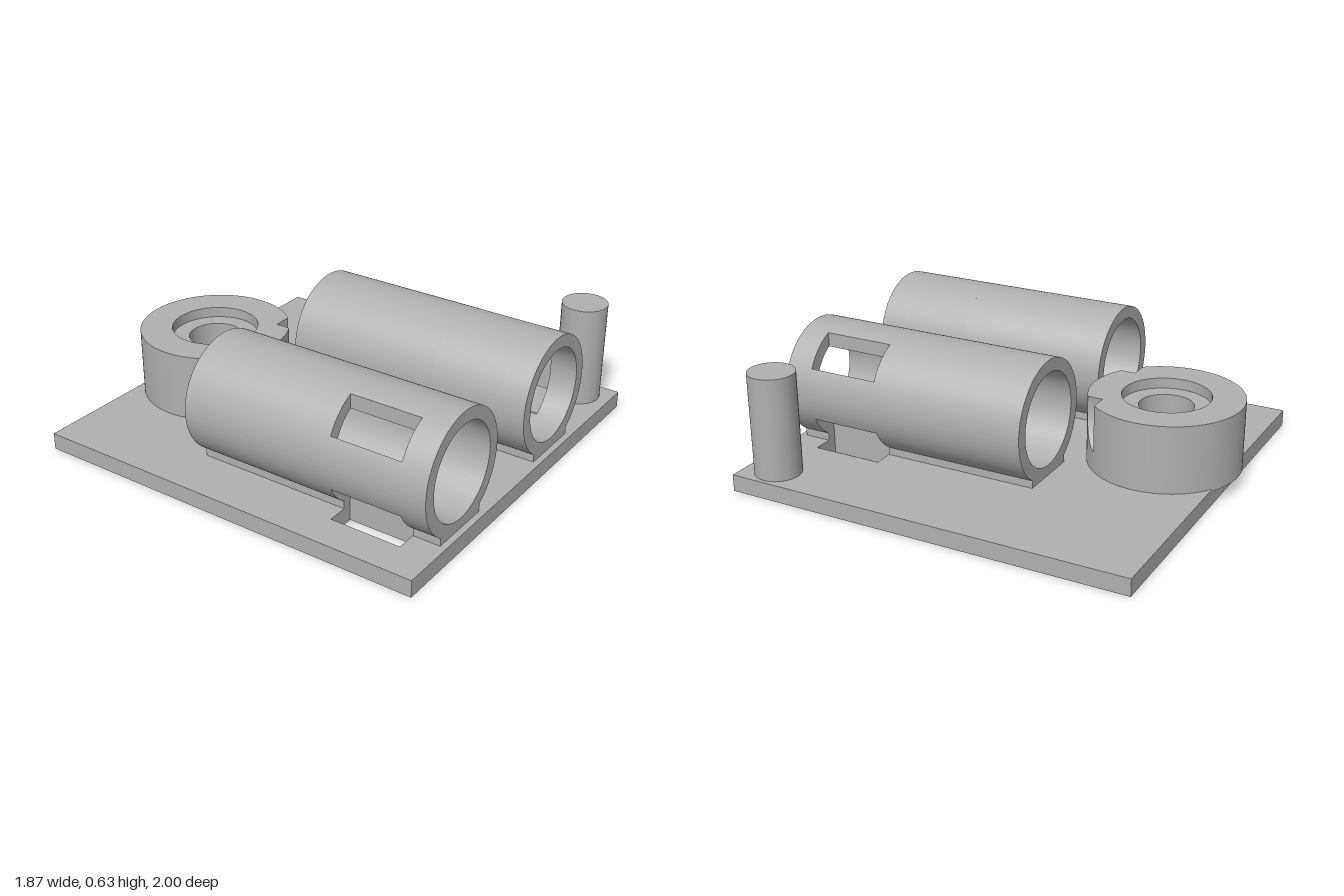
import * as THREE from 'three';
import { toCreasedNormals } from 'three/addons/utils/BufferGeometryUtils.js';

const PLATE = 0.08, AXIS = 0.35;            // plate top, height of the tube axes
const R = 0.28, BORE = 0.22;                // tube radii
const FOOT = 0.155, CUT = 0.11, CUT2 = 0.25; // foot half width, slot limits from the axis
const SLOT_Z = [0.5, 0.84];
const TUBES = [{ x: -0.52, side: -1 }, { x: 0.27, side: 1 }];
const RING = { x: -0.125, z: -0.645, r: 0.357, hole: 0.127, recess: 0.205, y0: 0.07, y1: 0.4, chord: 0.235 };

const grey = new THREE.MeshStandardMaterial({ color: 0xb0b0b0 });
grey.name = 'grey';

function mesh(name, geometry, parent) {
  const m = new THREE.Mesh(geometry, grey);
  m.name = name;
  parent.add(m);
  return m;
}

const extrude = (shape, depth) =>
  toCreasedNormals(new THREE.ExtrudeGeometry(shape, { depth, bevelEnabled: false, curveSegments: 64 }), 0.5);

// Extrudes a plan drawing (shape y = -z) upwards from y0 to y1
const plan = (shape, y0, y1) => extrude(shape, y1 - y0).rotateX(-Math.PI / 2).translate(0, y0, 0);

const circle = (x, y, r) => new THREE.Path().absarc(x, y, r, 0, Math.PI * 2, false);

function rect(x0, y0, x1, y1, Type = THREE.Path) {
  return new Type([[x0, y0], [x1, y0], [x1, y1], [x0, y1]].map(p => new THREE.Vector2(...p)));
}

// Tube section with its foot, around the tube axis
function fullSection() {
  const a = Math.acos(FOOT / R), b = PLATE - AXIS;
  const s = new THREE.Shape();
  s.absarc(0, 0, R, -a, Math.PI + a, false);
  s.lineTo(-FOOT, b);
  s.lineTo(FOOT, b);
  s.closePath();
  s.holes.push(circle(0, 0, BORE));
  return s;
}

// Section where the vertical slot passes: open body and the outer sliver
function slottedSections(side) {
  const b = PLATE - AXIS, inner = Math.acos(CUT / BORE), rim = Math.acos(CUT2 / R);
  const body = new THREE.Shape();
  body.absarc(0, 0, R, Math.acos(CUT / R), Math.PI + Math.acos(FOOT / R), false);
  body.lineTo(-FOOT, b);
  body.lineTo(CUT, b);
  body.absarc(0, 0, BORE, -inner, inner, true);
  body.closePath();
  const sliver = new THREE.Shape();
  sliver.absarc(0, 0, R, -rim, rim, false);
  sliver.closePath();
  return [body, sliver].map(s =>
    new THREE.Shape(s.getPoints(48).map(p => new THREE.Vector2(p.x * side, p.y))));
}

// Front of the ring, scooped on both sides by the line of the tube bores
function ringFront() {
  const { r, y0, y1, chord } = RING, N = 32, rows = 20;
  const half = Math.sqrt(r * r - chord * chord), offset = TUBES[1].x - RING.x;
  const scoop = AXIS - Math.sqrt(BORE ** 2 - (offset - half) ** 2);
  const levels = [y0];
  for (let j = 0; j <= rows; j++) levels.push(scoop + (y1 - scoop) * j / rows);
  const pos = [], idx = [], W = N + 3;
  levels.forEach((y, j) => {
    const X = j < 2 ? half : Math.min(half, offset - Math.sqrt(BORE ** 2 - (y - AXIS) ** 2));
    pos.push(-X, y, chord);
    for (let i = 0; i <= N; i++) {
      const x = X * (2 * i / N - 1);
      pos.push(x, y, Math.sqrt(r * r - x * x));
    }
    pos.push(X, y, chord);
  });
  for (let j = 0; j < levels.length - 1; j++)
    for (let i = 0; i < W - 1; i++) {
      const a = j * W + i, b = a + 1, c = b + W, d = a + W;
      idx.push(a, b, c, a, c, d);
    }
  const top = (levels.length - 1) * W;
  for (let i = 1; i < W - 1; i++) {
    idx.push(top, top + i, top + i + 1);
    idx.push(0, i + 1, i);
  }
  const g = new THREE.BufferGeometry();
  g.setAttribute('position', new THREE.Float32BufferAttribute(pos, 3));
  g.setIndex(idx);
  return toCreasedNormals(g, 0.5);
}

// Rear of the ring: a disc cut off along the chord, with a round hole
function ringRear(hole, y0, y1) {
  const a = Math.asin(RING.chord / RING.r);
  const s = new THREE.Shape();
  s.absarc(0, 0, RING.r, -a, Math.PI + a, false);
  s.closePath();
  s.holes.push(circle(0, 0, hole));
  return plan(s, y0, y1);
}

export function createModel() {
  const model = new THREE.Group();
  model.name = 'tubeHolder';

  // Base plate with two slots and the ring hole
  const base = rect(-0.935, -1, 0.935, 0.95, THREE.Shape);
  base.holes.push(circle(RING.x, -RING.z, RING.hole));
  for (const { x, side } of TUBES) {
    const [x0, x1] = [x + side * CUT, x + side * CUT2].sort((p, q) => p - q);
    base.holes.push(rect(x0, -SLOT_Z[1], x1, -SLOT_Z[0]));
  }
  mesh('basePlate', plan(base, 0, PLATE), model);

  // Two tubes on feet, each slotted on its outer side
  for (const { x, side } of TUBES) {
    const tube = new THREE.Group();
    tube.name = side < 0 ? 'rightTube' : 'leftTube';
    tube.position.set(x, AXIS, 0);
    mesh('tubeRear', extrude(fullSection(), SLOT_Z[0] + 0.25), tube).position.z = -0.25;
    mesh('tubeFront', extrude(fullSection(), 0.97 - SLOT_Z[1]), tube).position.z = SLOT_Z[1];
    slottedSections(side).forEach((s, i) => {
      mesh(i ? 'slotRim' : 'slottedBody', extrude(s, SLOT_Z[1] - SLOT_Z[0]), tube).position.z = SLOT_Z[0];
    });
    model.add(tube);
  }

  // Ring boss with a stepped hole
  const ring = new THREE.Group();
  ring.name = 'ringBoss';
  ring.position.set(RING.x, 0, RING.z);
  const step = RING.y1 - 0.05;
  mesh('ringBody', ringRear(RING.hole, RING.y0, step), ring);
  mesh('ringRecess', ringRear(RING.recess, step, RING.y1), ring);
  mesh('ringFront', ringFront(), ring);
  model.add(ring);

  // Corner post
  const post = mesh('post', new THREE.CylinderGeometry(0.108, 0.108, 0.565 - PLATE, 64), model);
  post.position.set(0.808, (0.565 + PLATE) / 2, 0.84);

  return model;
}
